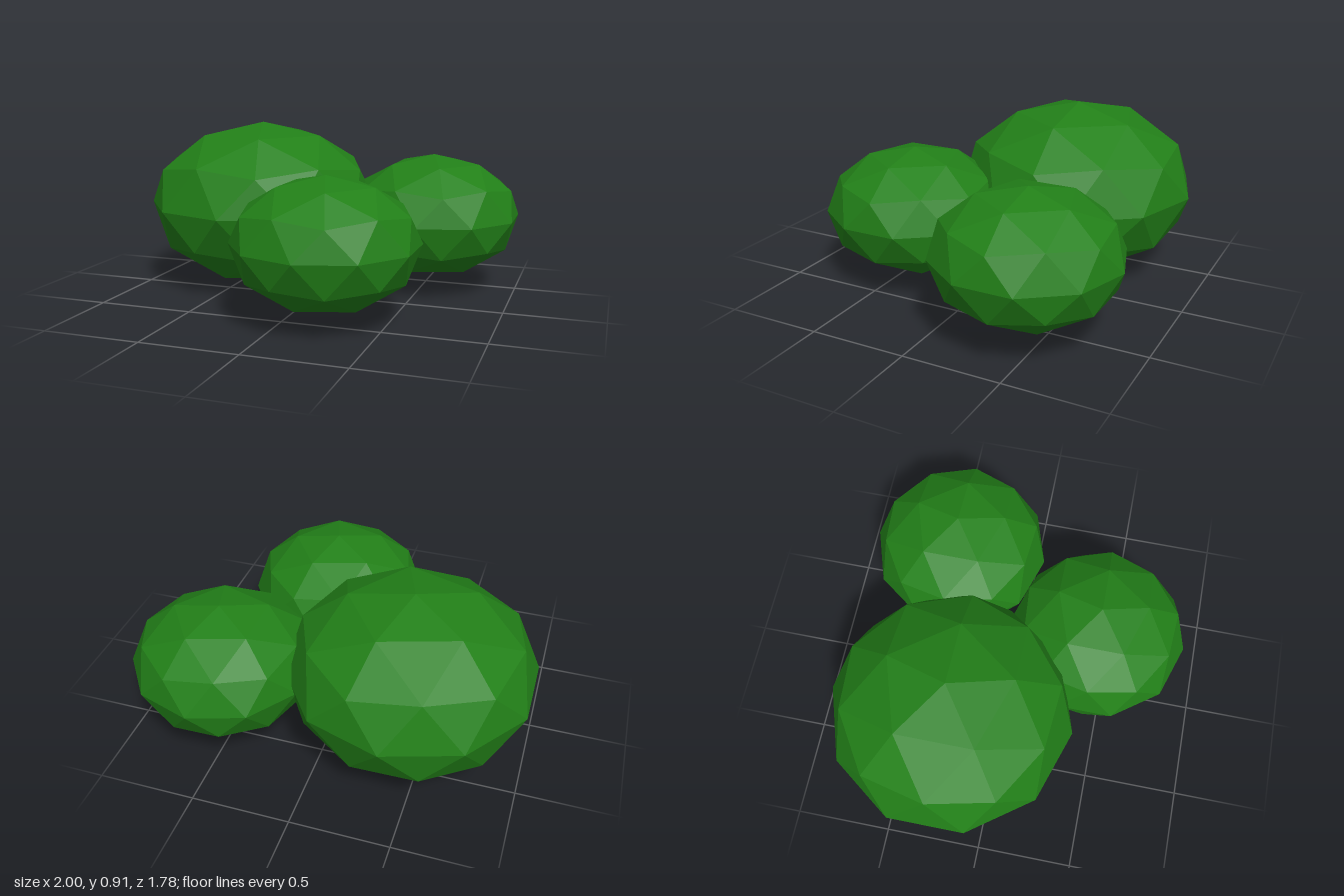
import * as THREE from 'three';

// Flattened low-poly icosphere with one vertex pointing straight up
function leafClump(name, material, [x, y, z], radius, height) {
  const geometry = new THREE.IcosahedronGeometry(1, 1);
  geometry.rotateZ(-Math.atan(2 / (1 + Math.sqrt(5)))); // vertex to the pole
  geometry.scale(radius, height, radius);
  geometry.computeVertexNormals();
  const mesh = new THREE.Mesh(geometry, material);
  mesh.name = name;
  mesh.position.set(x, y, z);
  return mesh;
}

export function createModel() {
  const bush = new THREE.Group();
  bush.name = 'bush';
  const leaves = new THREE.MeshStandardMaterial({ color: 0x228018, flatShading: true });

  // One large clump with two smaller ones beside and in front of it
  bush.add(
    leafClump('largeClump', leaves, [-0.396, 0.453, -0.253], 0.635, 0.453),
    leafClump('sideClump', leaves, [0.55, 0.41, -0.41], 0.47, 0.332),
    leafClump('frontClump', leaves, [0.198, 0.388, 0.418], 0.47, 0.332)
  );
  return bush;
}
